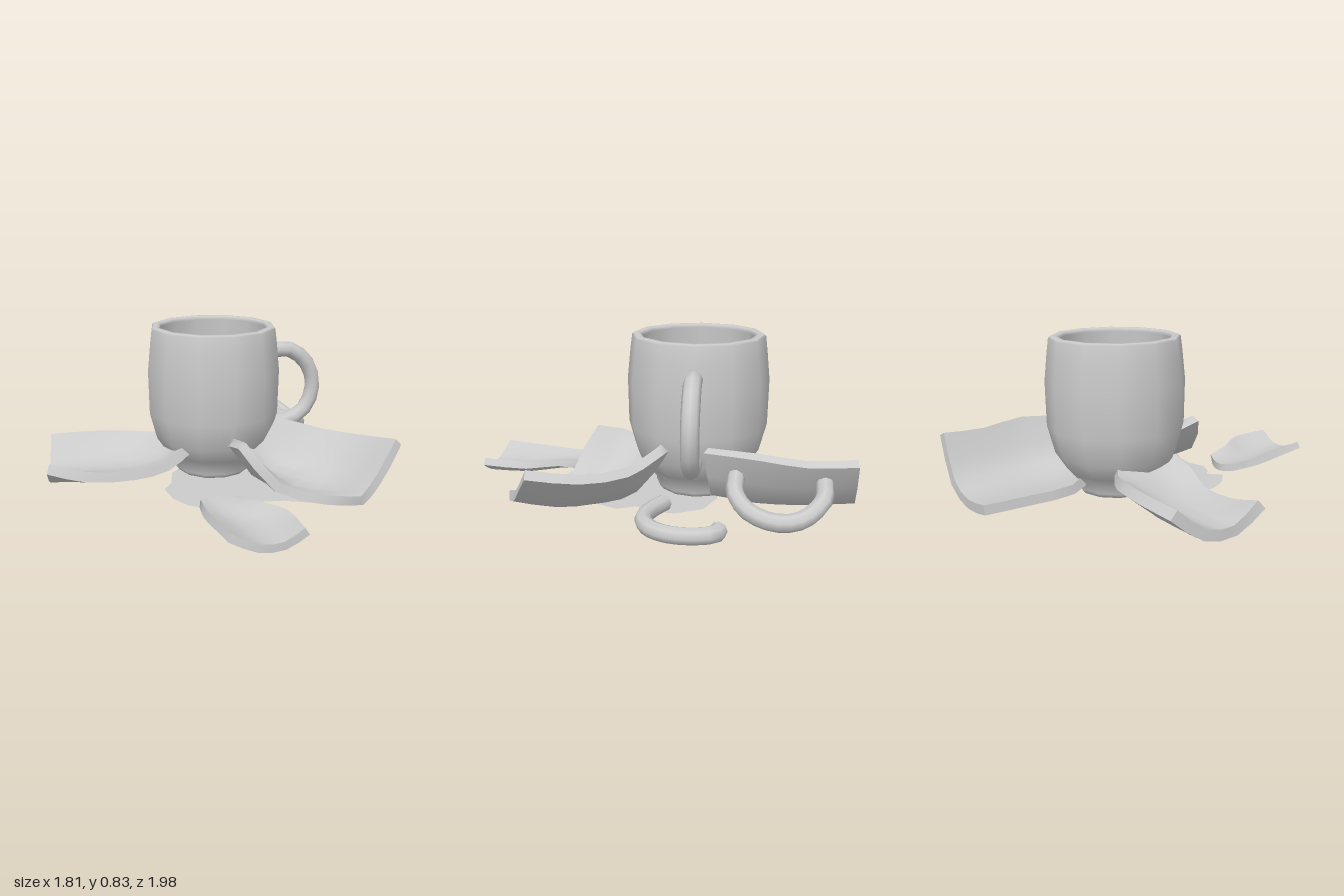
import * as THREE from 'three';
import { toCreasedNormals } from 'three/addons/utils/BufferGeometryUtils.js';

const material = new THREE.MeshStandardMaterial({ color: 0xcccccc, side: THREE.DoubleSide });
const V = (p) => new THREE.Vector3(...p);

function add(parent, name, geometry) {
  const mesh = new THREE.Mesh(geometry, material);
  mesh.name = name;
  parent.add(mesh);
  return mesh;
}

// Smoothly resample a coarse grid of points to twice its density
function refine(grid) {
  const spread = (pts) => new THREE.CatmullRomCurve3(pts);
  const sample = (pts) => {
    const n = (pts.length - 1) * 2;
    return Array.from({ length: n + 1 }, (_, i) => spread(pts).getPoint(i / n));
  };
  const rows = grid.map((r) => sample(r.map(V)));
  const cols = rows[0].map((_, j) => sample(rows.map((r) => r[j])));
  return cols[0].map((_, i) => cols.map((c) => c[i]));
}

// Curved slab of broken wall: a grid of mid-surface points given thickness
function shardGeometry(coarse, thickness) {
  const g = refine(coarse);
  const n = g.length, m = g[0].length, size = 2 * m;
  const pos = [], index = [];
  for (let i = 0; i < n; i++) {
    const top = [], bottom = [];
    for (let j = 0; j < m; j++) {
      const du = g[Math.min(i + 1, n - 1)][j].clone().sub(g[Math.max(i - 1, 0)][j]);
      const dv = g[i][Math.min(j + 1, m - 1)].clone().sub(g[i][Math.max(j - 1, 0)]);
      const normal = du.cross(dv).normalize().multiplyScalar(thickness / 2);
      top.push(g[i][j].clone().add(normal));
      bottom.unshift(g[i][j].clone().sub(normal));
    }
    for (const p of [...top, ...bottom]) pos.push(p.x, Math.max(p.y, 0.005), p.z);
  }
  const quad = (a, b, c, d) => index.push(a, b, c, a, c, d);
  for (let i = 0; i < n - 1; i++) {
    for (let k = 0; k < size; k++) {
      const l = (k + 1) % size;
      quad(i * size + k, (i + 1) * size + k, (i + 1) * size + l, i * size + l);
    }
  }
  const e = (n - 1) * size;
  for (let j = 0; j < m - 1; j++) {
    const a = j, b = j + 1, c = size - 2 - j, d = size - 1 - j;
    quad(a, b, c, d);
    quad(e + d, e + c, e + b, e + a);
  }
  const geo = new THREE.BufferGeometry();
  geo.setAttribute('position', new THREE.Float32BufferAttribute(pos, 3));
  geo.setIndex(index);
  return toCreasedNormals(geo, 0.9);
}

// Round handle along a path, closed by a disc at each end
function addHandle(parent, name, points, radius) {
  const group = new THREE.Group();
  group.name = name;
  const path = new THREE.CatmullRomCurve3(points.map(V));
  add(group, name + 'Bar', new THREE.TubeGeometry(path, 16, radius, 8));
  for (const t of [0, 1]) {
    const cap = add(group, name + 'End', new THREE.CircleGeometry(radius, 8));
    cap.position.copy(path.getPoint(t));
    cap.lookAt(cap.position.clone().add(path.getTangent(t).multiplyScalar(t ? 1 : -1)));
  }
  parent.add(group);
}

export function createModel() {
  const model = new THREE.Group();
  model.name = 'brokenMugs';

  // Whole mug with its drink and handle
  const mug = new THREE.Group();
  mug.name = 'mug';
  mug.position.set(0.06, 0, -0.185);
  const profile = [
    [0, 0.005], [0.2, 0.005], [0.22, 0.03], [0.22, 0.07], [0.27, 0.12], [0.33, 0.21], [0.37, 0.36],
    [0.375, 0.6], [0.36, 0.75], [0.35, 0.83], [0.34, 0.84], [0.31, 0.84], [0.3, 0.82],
    [0.325, 0.6], [0.325, 0.38], [0.28, 0.21], [0.2, 0.1], [0, 0.08],
  ].map(([x, y]) => new THREE.Vector2(x, y));
  add(mug, 'mugBody', new THREE.LatheGeometry(profile, 12));
  const drink = add(mug, 'drink', new THREE.CircleGeometry(0.28, 12).rotateX(-Math.PI / 2));
  drink.position.y = 0.2;
  addHandle(mug, 'mugHandle', [
    [0.32, 0.67, 0], [0.47, 0.67, 0], [0.58, 0.58, 0], [0.62, 0.45, 0],
    [0.58, 0.32, 0], [0.48, 0.25, 0], [0.32, 0.24, 0], [0, 0.24, 0],
  ], 0.045);
  model.add(mug);

  // Broken wall pieces, each a trough of cross-sections
  add(model, 'leftShard', shardGeometry([
    [[-0.9, 0.15, -0.03], [-0.88, 0.05, -0.17], [-0.86, 0.06, -0.33], [-0.83, 0.18, -0.49]],
    [[-0.7, 0.09, -0.01], [-0.7, 0.04, -0.17], [-0.66, 0.06, -0.33], [-0.6, 0.18, -0.48]],
    [[-0.45, 0.08, 0.01], [-0.43, 0.05, -0.15], [-0.42, 0.08, -0.3], [-0.38, 0.17, -0.44]],
    [[-0.28, 0.13, 0.06], [-0.26, 0.1, -0.1], [-0.25, 0.13, -0.25], [-0.24, 0.16, -0.39]],
    [[-0.13, 0.21, 0.01], [-0.09, 0.22, -0.08], [-0.07, 0.23, -0.17], [-0.06, 0.24, -0.26]],
  ], 0.055));
  add(model, 'frontLeftShard', shardGeometry([
    [[0.04, 0.23, 0.09], [0.15, 0.22, 0.02], [0.27, 0.26, -0.03], [0.38, 0.31, -0.04]],
    [[0.04, 0.31, 0.36], [0.15, 0.12, 0.25], [0.35, 0.08, 0.12], [0.49, 0.29, 0.02]],
    [[0.2, 0.1, 0.46], [0.33, 0.04, 0.38], [0.5, 0.08, 0.25], [0.62, 0.26, 0.12]],
    [[0.42, 0.06, 0.6], [0.5, 0.05, 0.52], [0.62, 0.11, 0.42], [0.76, 0.27, 0.32]],
    [[0.54, 0.09, 0.72], [0.62, 0.12, 0.67], [0.73, 0.21, 0.61], [0.83, 0.31, 0.55]],
  ], 0.05));
  add(model, 'frontShard', shardGeometry([
    [[-0.21, 0.06, 0.44], [-0.14, 0.05, 0.4], [-0.06, 0.05, 0.42], [0.01, 0.06, 0.46]],
    [[-0.23, 0.07, 0.6], [-0.14, 0.04, 0.59], [-0.05, 0.05, 0.59], [0.04, 0.09, 0.59]],
    [[-0.23, 0.09, 0.78], [-0.1, 0.04, 0.77], [0.03, 0.05, 0.76], [0.13, 0.1, 0.75]],
    [[-0.23, 0.11, 0.95], [-0.1, 0.05, 0.97], [0.02, 0.05, 0.98], [0.12, 0.11, 0.99]],
  ], 0.04));
  add(model, 'backShard', shardGeometry([
    [[0.01, 0.06, -0.99], [0.2, 0.035, -0.99], [0.41, 0.09, -0.98], [0.55, 0.32, -0.97]],
    [[0, 0.06, -0.75], [0.2, 0.035, -0.75], [0.43, 0.08, -0.74], [0.56, 0.31, -0.74]],
    [[-0.01, 0.07, -0.5], [0.2, 0.035, -0.5], [0.43, 0.08, -0.5], [0.56, 0.34, -0.5]],
    [[0.1, 0.1, -0.32], [0.25, 0.06, -0.3], [0.38, 0.1, -0.28], [0.46, 0.33, -0.25]],
  ], 0.05));

  // Handle still on the back shard, and a loose one on the ground
  addHandle(model, 'backShardHandle', [
    [0.53, 0.21, -0.82], [0.67, 0.17, -0.8], [0.75, 0.11, -0.7], [0.765, 0.1, -0.58],
    [0.72, 0.13, -0.46], [0.65, 0.18, -0.4], [0.51, 0.22, -0.4],
  ], 0.043);
  addHandle(model, 'looseHandle', [
    [0.78, 0.06, -0.33], [0.83, 0.06, -0.31], [0.86, 0.06, -0.21], [0.85, 0.06, -0.1],
    [0.79, 0.06, -0.01], [0.69, 0.06, 0.03], [0.59, 0.06, 0.01], [0.48, 0.06, -0.05],
  ], 0.042);

  // Spilled drink on the ground
  const edge = [
    [-0.3, 0.08], [-0.29, 0.22], [-0.24, 0.32], [-0.15, 0.41], [-0.08, 0.35], [-0.04, 0.39],
    [0.04, 0.43], [0.14, 0.4], [0.25, 0.42], [0.36, 0.48], [0.43, 0.45], [0.4, 0.32],
    [0.46, 0.2], [0.42, 0.1], [0.48, 0], [0.49, -0.1], [0.42, -0.24], [0.28, -0.3],
    [0.1, -0.34], [-0.08, -0.27], [-0.2, -0.14], [-0.24, 0],
  ].map(([x, z]) => new THREE.Vector2(x, -z));
  const puddle = add(model, 'puddle', new THREE.ShapeGeometry(new THREE.Shape(edge)).rotateX(-Math.PI / 2));
  puddle.position.y = 0.006;

  return model;
}
